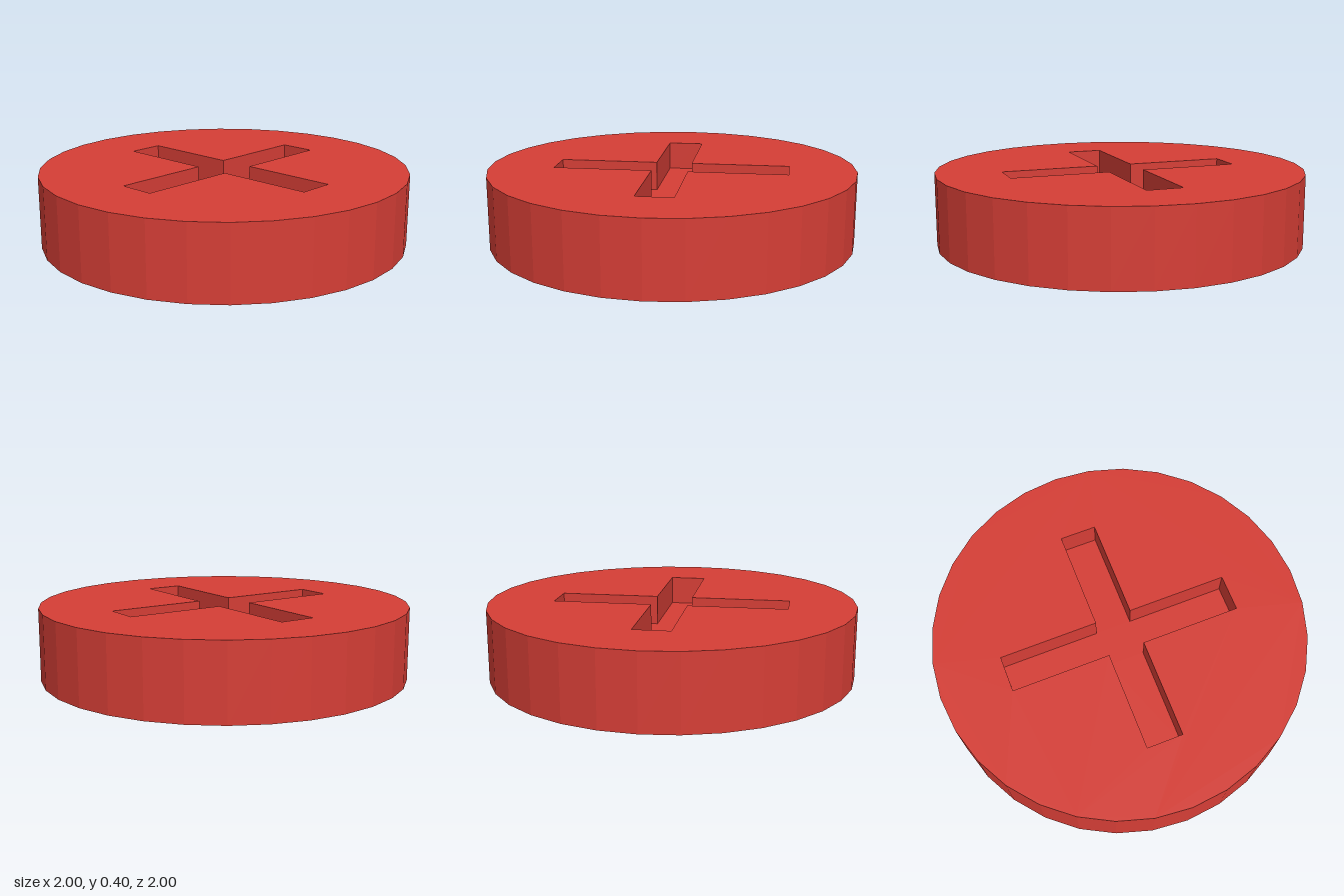
import * as THREE from 'three';

const HEIGHT = 0.395, FLOOR = 0.237; // disc top and slot floor
const SIDES = 32;
const HALF_WIDTH = 0.098, REACH = 0.636; // arms of the cross

// Outlines run counter-clockwise seen from above; plan y becomes -z
function discOutline() {
  return Array.from({ length: SIDES }, (_, i) => {
    const a = (i / SIDES) * Math.PI * 2;
    return new THREE.Vector2(Math.cos(a), Math.sin(a));
  });
}

function crossOutline() {
  const points = [];
  const centre = new THREE.Vector2();
  for (let i = 0; i < 4; i++) {
    for (const [x, y] of [[REACH, -HALF_WIDTH], [REACH, HALF_WIDTH], [HALF_WIDTH, HALF_WIDTH]]) {
      points.push(new THREE.Vector2(x, y).rotateAround(centre, Math.PI / 4 + (i * Math.PI) / 2));
    }
  }
  return points;
}

// Flat horizontal face at height y, with optional hole
function flatFace(outline, y, hole) {
  const shape = new THREE.Shape(outline);
  if (hole) shape.holes.push(new THREE.Path(hole));
  return new THREE.ShapeGeometry(shape).rotateX(-Math.PI / 2).translate(0, y, 0);
}

// Faceted vertical wall along a closed outline
function wall(outline, y0, y1) {
  const positions = [];
  outline.forEach((a, i) => {
    const b = outline[(i + 1) % outline.length];
    positions.push(
      a.x, y0, -a.y, b.x, y0, -b.y, b.x, y1, -b.y,
      a.x, y0, -a.y, b.x, y1, -b.y, a.x, y1, -a.y
    );
  });
  const geometry = new THREE.BufferGeometry();
  geometry.setAttribute('position', new THREE.Float32BufferAttribute(positions, 3));
  geometry.computeVertexNormals();
  return geometry;
}

export function createModel() {
  const group = new THREE.Group();
  group.name = 'slottedDisc';
  const red = new THREE.MeshStandardMaterial({ color: 0xd63e36, flatShading: true });
  const disc = discOutline();
  const cross = crossOutline();

  const add = (name, geometry) => {
    const mesh = new THREE.Mesh(geometry, red);
    mesh.name = name;
    group.add(mesh);
  };

  // Disc body
  add('rim', wall(disc, 0, HEIGHT));
  add('topFace', flatFace(disc, HEIGHT, cross));
  add('bottomFace', flatFace(disc, 0).rotateX(Math.PI));

  // Recessed cross slot, its walls facing inwards
  add('slotWalls', wall([...cross].reverse(), FLOOR, HEIGHT));
  add('slotFloor', flatFace(cross, FLOOR));

  return group;
}
